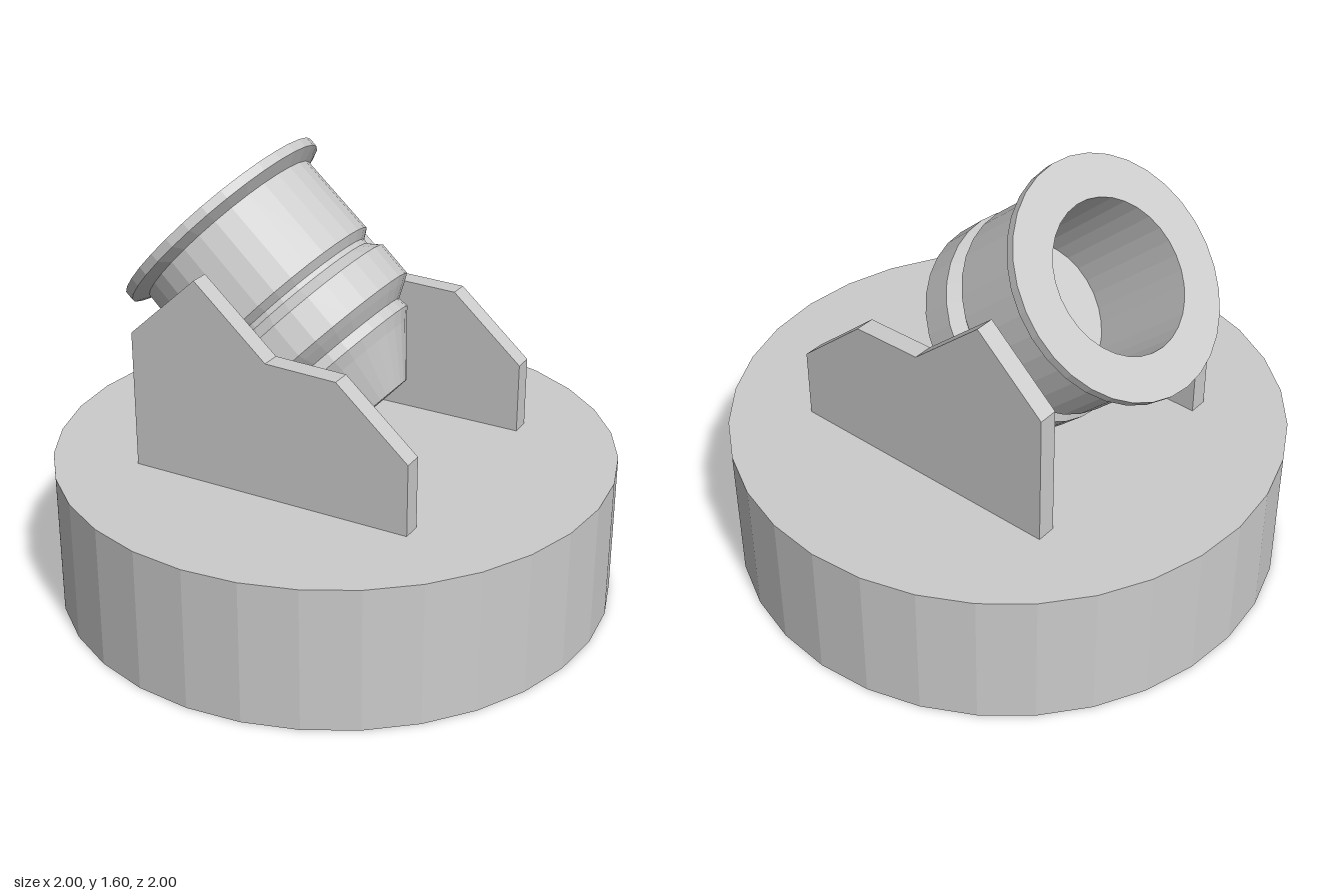
import * as THREE from 'three';

const material = new THREE.MeshStandardMaterial({ color: 0xcccccc, flatShading: true });
const SIDES = 32;
const BASE_HEIGHT = 0.52;

function addMesh(parent, geometry, name) {
  const mesh = new THREE.Mesh(geometry, material);
  mesh.name = name;
  parent.add(mesh);
  return mesh;
}

export function createModel() {
  const model = new THREE.Group();
  model.name = 'mortar';

  // Round platform
  const base = addMesh(model, new THREE.CylinderGeometry(1, 1, BASE_HEIGHT, SIDES), 'base');
  base.position.y = BASE_HEIGHT / 2;

  // Two carriage cheeks, one on each side of the barrel
  const outline = [
    [-0.527, BASE_HEIGHT], [0.525, BASE_HEIGHT], [0.525, 0.778], [0.262, 1.01],
    [0, 1.017], [-0.268, 1.255], [-0.527, 1.017],
  ].map(([x, y]) => new THREE.Vector2(x, y));
  const cheek = new THREE.ExtrudeGeometry(new THREE.Shape(outline), { depth: 0.07, bevelEnabled: false });
  cheek.translate(0, 0, -0.035);
  for (const side of [1, -1]) {
    const mesh = addMesh(model, cheek, side > 0 ? 'frontCheek' : 'rearCheek');
    mesh.position.z = side * 0.438;
  }

  // Barrel profile as [radius, distance behind the muzzle], from breech to bore floor
  const profile = [
    [0, 0.86], [0.134, 0.86],                 // breech end
    [0.268, 0.702], [0.304, 0.665],           // breech cone and ring
    [0.298, 0.627], [0.345, 0.598],
    [0.376, 0.577], [0.376, 0.448],           // reinforcing band
    [0.337, 0.409], [0.337, 0.39],            // groove
    [0.37, 0.365], [0.364, 0.058],            // chase
    [0.42, 0.034], [0.42, 0],                 // muzzle rim
    [0.268, 0], [0.268, 0.45], [0, 0.45],     // bore
  ].map(([r, d]) => new THREE.Vector2(r, -d));
  const barrel = addMesh(model, new THREE.LatheGeometry(profile, SIDES), 'barrel');
  barrel.position.set(-0.468, 1.294, 0);
  barrel.rotation.z = 0.826;

  return model;
}
